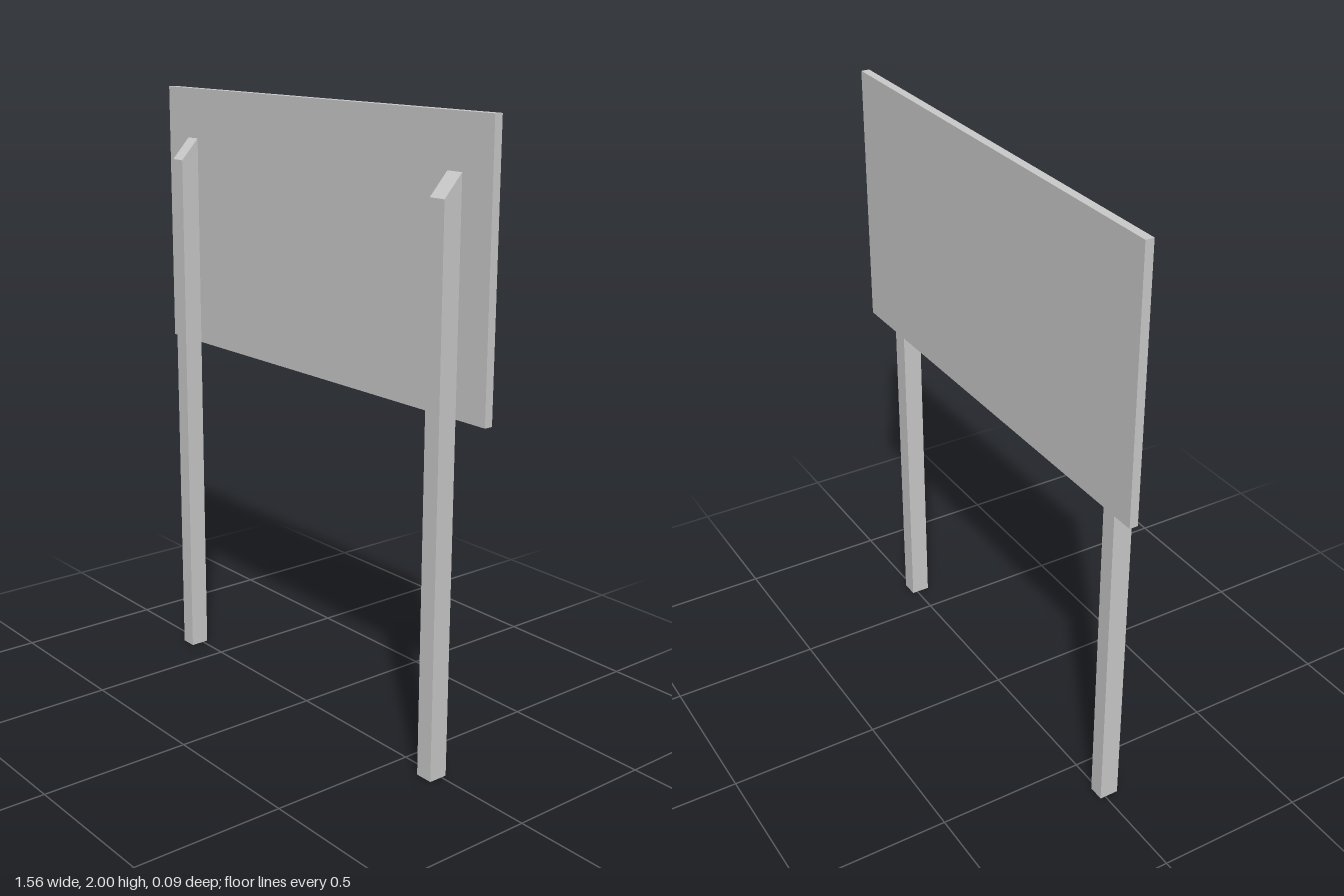
import * as THREE from 'three';

const material = new THREE.MeshStandardMaterial({ color: 0xcccccc, flatShading: true });

const BACK = -0.046, JOINT = -0.018, FRONT = 0.046;

// Square post whose top is cut at a slant, high edge against the panel
function makePost(name, x, width) {
  const side = new THREE.Shape([
    new THREE.Vector2(JOINT, 0),
    new THREE.Vector2(FRONT, 0),
    new THREE.Vector2(FRONT, 1.766),
    new THREE.Vector2(JOINT, 1.835),
  ]);
  const geometry = new THREE.ExtrudeGeometry(side, { depth: width, bevelEnabled: false });
  geometry.translate(0, 0, -width / 2);
  geometry.rotateY(-Math.PI / 2); // profile runs along z, width along x
  const post = new THREE.Mesh(geometry, material);
  post.name = name;
  post.position.x = x;
  return post;
}

export function createModel() {
  const group = new THREE.Group();
  group.name = 'signBoard';

  // Flat panel fixed behind the posts
  const bottom = 1.132, top = 2;
  const panel = new THREE.Mesh(new THREE.BoxGeometry(1.562, top - bottom, JOINT - BACK), material);
  panel.name = 'panel';
  panel.position.set(0, (top + bottom) / 2, (BACK + JOINT) / 2);
  group.add(panel);

  // Two posts
  group.add(makePost('leftPost', 0.633, 0.059), makePost('rightPost', -0.642, 0.054));

  return group;
}
